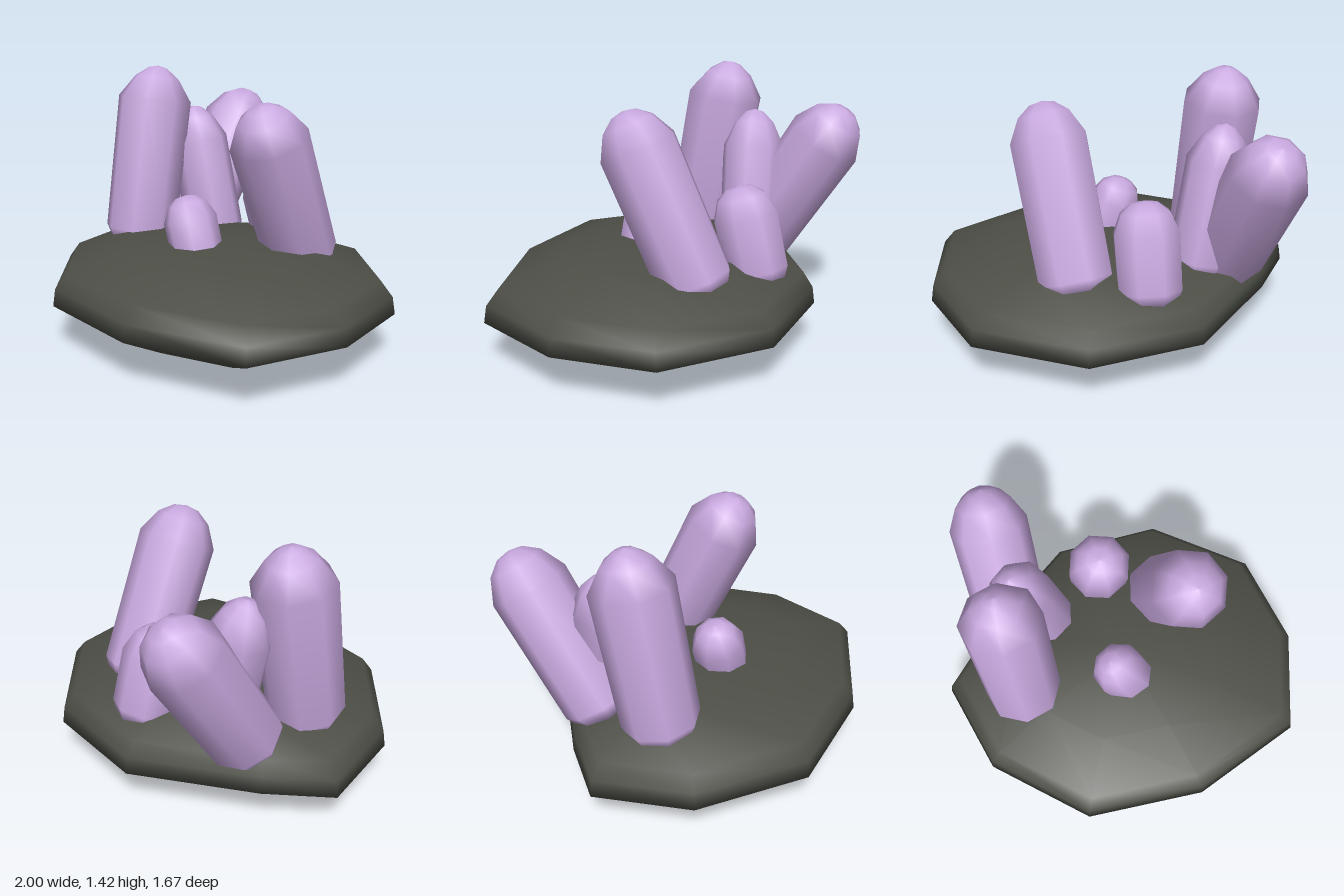
import * as THREE from 'three';
import { mergeVertices } from 'three/addons/utils/BufferGeometryUtils.js';

const crystalMat = new THREE.MeshStandardMaterial({ color: 0xc9a9e0 });
crystalMat.name = 'lilac crystal';
const rockMat = new THREE.MeshStandardMaterial({ color: 0x4d4f47 });
rockMat.name = 'dark stone';

// Flat boulder: one plan outline scaled through a stack of heights
function makeRock() {
  const outline = [
    [-1, -0.01], [-0.77, -0.3], [-0.27, -0.77], [0.32, -0.84], [0.84, -0.52],
    [1, -0.02], [0.9, 0.5], [0.33, 0.79], [-0.31, 0.83], [-0.81, 0.47],
  ];
  // [scale, height]
  const rings = [[0, 0], [0.62, 0.065], [1, 0.24], [0.985, 0.33], [0.92, 0.41], [0.57, 0.515], [0, 0.555]];
  const pos = [], idx = [], n = outline.length;
  for (const [s, y] of rings) for (const [x, z] of outline) pos.push(x * s, y, z * s);
  for (let r = 0; r < rings.length - 1; r++) {
    for (let i = 0; i < n; i++) {
      const a = r * n + i, b = r * n + (i + 1) % n;
      if (r < rings.length - 2) idx.push(a, a + n, b + n);
      if (r > 0) idx.push(a, b + n, b);
    }
  }
  // close the top fan, whose upper points coincide
  const g = new THREE.BufferGeometry();
  g.setAttribute('position', new THREE.Float32BufferAttribute(pos, 3));
  g.setIndex(idx);
  const merged = mergeVertices(g, 1e-4);
  merged.computeVertexNormals();
  const mesh = new THREE.Mesh(merged, rockMat);
  mesh.name = 'rockBase';
  return mesh;
}

// Eight-sided crystal from base to tip; cap is the length of the tapered end
function makeCrystal({ name, base, tip, r, cap, blunt, turn }) {
  const from = new THREE.Vector3(...base);
  const dir = new THREE.Vector3(...tip).sub(from);
  const len = dir.length();
  const profile = [
    [0, 0], [r * 0.8, 0], [r, 0.07],
    [r * 1.03, len - cap],
    [r * (0.62 + blunt * 0.2), len - cap * 0.36],
    [r * (0.26 + blunt * 0.2), len - cap * 0.07],
    [0, len],
  ].map(([x, y]) => new THREE.Vector2(x, y));
  const g = new THREE.LatheGeometry(profile, 8, turn);
  const mesh = new THREE.Mesh(g, crystalMat);
  mesh.name = name;
  mesh.position.copy(from);
  mesh.quaternion.setFromUnitVectors(new THREE.Vector3(0, 1, 0), dir.normalize());
  return mesh;
}

export function createModel() {
  const model = new THREE.Group();
  model.name = 'crystalCluster';
  model.add(makeRock());

  const crystals = [
    { name: 'tallFrontCrystal', base: [-0.565, 0.42, 0.13], tip: [-0.6, 1.42, -0.04], r: 0.205, cap: 0.19, blunt: 0, turn: 0 },
    { name: 'tallLeftCrystal', base: [0.275, 0.4, -0.395], tip: [0.37, 1.295, 0.005], r: 0.2, cap: 0.19, blunt: 0.4, turn: 0.2 },
    { name: 'tallBackCrystal', base: [-0.57, 0.4, -0.225], tip: [-0.625, 1.22, -0.735], r: 0.2, cap: 0.2, blunt: 0.5, turn: 0.1 },
    { name: 'middleCrystal', base: [-0.385, 0.4, -0.3], tip: [-0.54, 1.18, -0.23], r: 0.165, cap: 0.2, blunt: 0.2, turn: 0.3 },
    { name: 'smallBackCrystal', base: [-0.06, 0.38, -0.55], tip: [-0.06, 0.88, -0.41], r: 0.17, cap: 0.16, blunt: 0.8, turn: 0.2 },
    { name: 'smallFrontCrystal', base: [0.045, 0.4, 0.13], tip: [-0.09, 0.78, 0.135], r: 0.14, cap: 0.13, blunt: 0.7, turn: 0.1 },
  ];
  for (const c of crystals) model.add(makeCrystal(c));
  return model;
}
